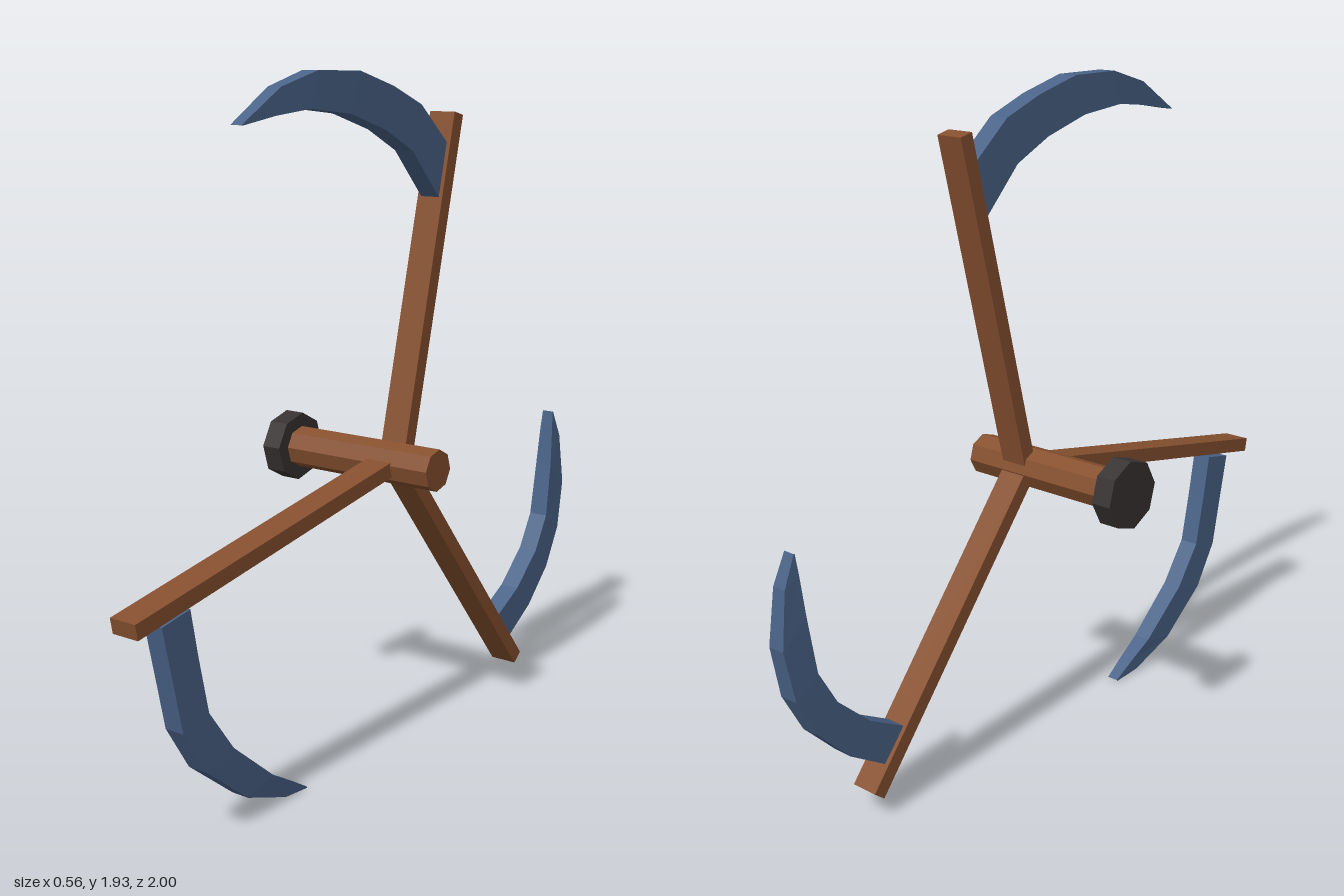
import * as THREE from 'three';

const steel = new THREE.MeshStandardMaterial({ color: 0x4a6388, flatShading: true, name: 'blueSteel' });
const wood = new THREE.MeshStandardMaterial({ color: 0x86502f, flatShading: true, name: 'brownWood' });
const iron = new THREE.MeshStandardMaterial({ color: 0x383333, flatShading: true, name: 'darkIron' });

const HUB_Y = 0.842, HUB_Z = -0.065, ARM_X = 0.112;

function mesh(geometry, material, name) {
  const m = new THREE.Mesh(geometry, material);
  m.name = name;
  return m;
}

// Eight-sided rod along x
function rod(radius, x0, x1, material, name) {
  const g = new THREE.CylinderGeometry(radius, radius, x1 - x0, 8, 1, false, 0.1);
  g.rotateZ(Math.PI / 2);
  const m = mesh(g, material, name);
  m.position.set((x0 + x1) / 2, HUB_Y, HUB_Z);
  return m;
}

// Flat bar between two [z, y] points
function arm([z0, y0], [z1, y1]) {
  const dz = z1 - z0, dy = y1 - y0;
  const m = mesh(new THREE.BoxGeometry(0.084, Math.hypot(dz, dy), 0.043), wood, 'arm');
  m.position.set(ARM_X, (y0 + y1) / 2, (z0 + z1) / 2);
  m.rotation.x = Math.atan2(dz, dy);
  return m;
}

// Half thickness of a blade from base to tip
const HALF = [0.03, 0.03, 0.03, 0.03, 0.027, 0.022, 0.018];

// Curved blade lofted from outer and inner edges, both lists of [z, y]
function blade(outer, inner) {
  const pos = [], index = [];
  outer.forEach(([oz, oy], i) => {
    const [iz, iy] = inner[i], w = HALF[i];
    pos.push(ARM_X + w, oy, oz, ARM_X - w, oy, oz, ARM_X - w, iy, iz, ARM_X + w, iy, iz);
    if (i === 0) return;
    for (let k = 0; k < 4; k++) {
      const a = (i - 1) * 4 + k, b = (i - 1) * 4 + (k + 1) % 4;
      index.push(a, b, b + 4, a, b + 4, a + 4);
    }
  });
  index.push(0, 3, 2, 0, 2, 1); // base
  const g = new THREE.BufferGeometry();
  g.setAttribute('position', new THREE.Float32BufferAttribute(pos, 3));
  g.setIndex(index);
  const flat = g.toNonIndexed();
  flat.computeVertexNormals();
  return mesh(flat, steel, 'blade');
}

const SPOKES = [
  {
    name: 'upperSpoke', from: [-0.09, 0.84], to: [-0.327, 1.813],
    outer: [[-0.29, 1.73], [-0.16, 1.84], [-0.03, 1.89], [0.12, 1.93], [0.29, 1.93], [0.43, 1.89], [0.575, 1.8]],
    inner: [[-0.25, 1.58], [-0.12, 1.715], [0.005, 1.775], [0.16, 1.82], [0.32, 1.835], [0.45, 1.82], [0.57, 1.799]],
  },
  {
    name: 'frontSpoke', from: [-0.064, 0.845], to: [0.996, 0.642],
    outer: [[0.9, 0.625], [0.87, 0.49], [0.835, 0.33], [0.755, 0.2], [0.595, 0.07], [0.435, 0.01], [0.34, 0]],
    inner: [[0.8, 0.645], [0.775, 0.515], [0.74, 0.355], [0.65, 0.23], [0.49, 0.095], [0.405, 0.045], [0.34, 0.004]],
  },
  {
    name: 'rearSpoke', from: [-0.085, 0.845], to: [-0.715, 0.07],
    outer: [[-0.68, 0.15], [-0.8, 0.225], [-0.905, 0.33], [-0.97, 0.45], [-1, 0.6], [-0.98, 0.76], [-0.942, 0.845]],
    inner: [[-0.605, 0.235], [-0.725, 0.3], [-0.835, 0.4], [-0.895, 0.505], [-0.92, 0.67], [-0.932, 0.785], [-0.939, 0.845]],
  },
];

export function createModel() {
  const model = new THREE.Group();
  model.name = 'bladedWheel';

  // Axle with its end cap
  model.add(rod(0.06, -0.22, 0.277, wood, 'axle'));
  model.add(rod(0.1, -0.278, -0.217, iron, 'axleCap'));

  // Three arms, each carrying a curved blade
  for (const s of SPOKES) {
    const spoke = new THREE.Group();
    spoke.name = s.name;
    spoke.add(arm(s.from, s.to), blade(s.outer, s.inner));
    model.add(spoke);
  }
  return model;
}
